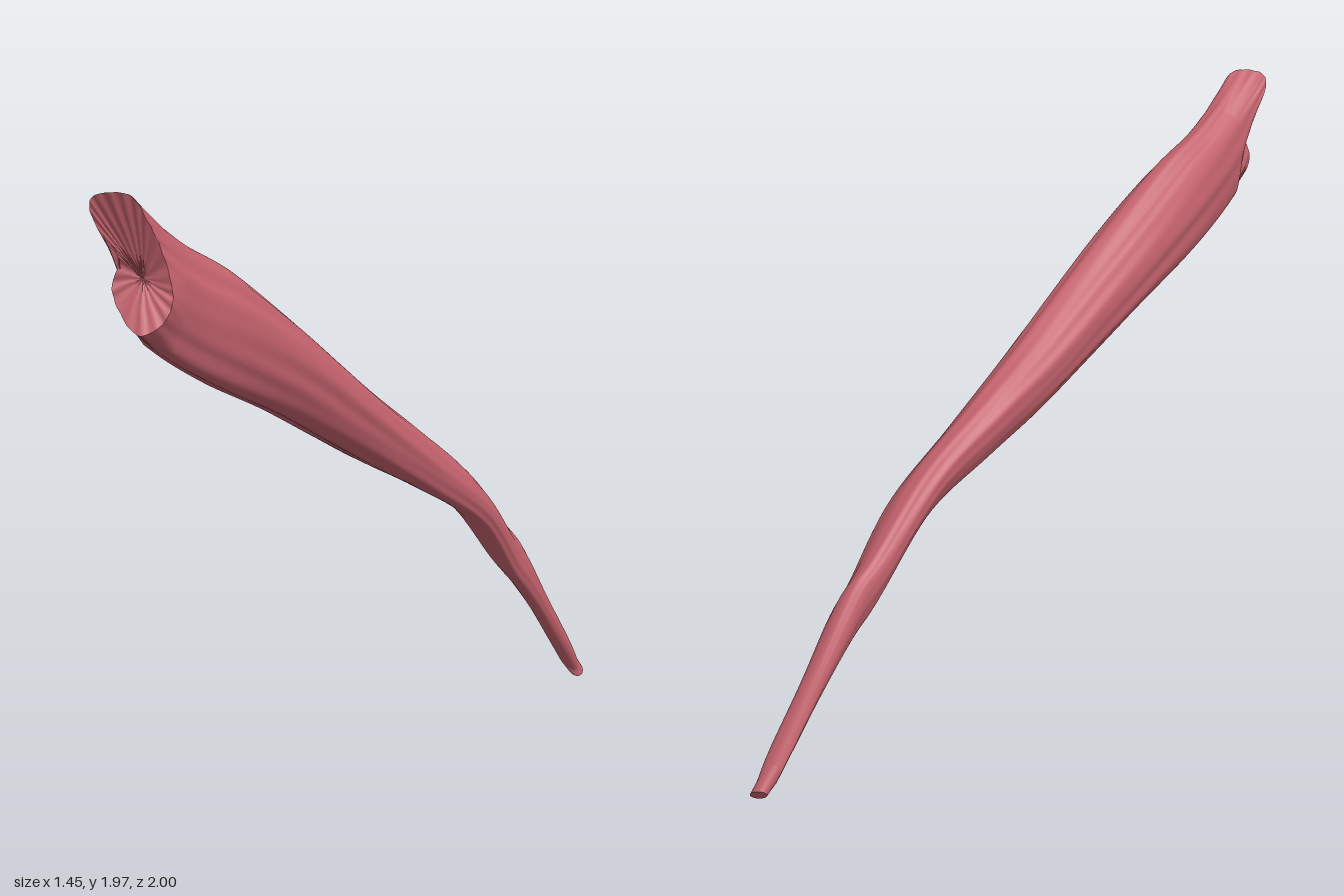
import * as THREE from 'three';

const SIDES = 72;
const STEPS = 90;

// Cross-sections along the muscle: z, x min, x max, y min, y max, slant
const SECTIONS = [
  [-0.95, 0.63, 0.71, 0.02, 0.115, -0.6],
  [-0.90, 0.585, 0.68, 0.10, 0.215, -0.6],
  [-0.80, 0.50, 0.605, 0.255, 0.41, -0.6],
  [-0.68, 0.41, 0.54, 0.39, 0.61, -0.58],
  [-0.60, 0.345, 0.495, 0.475, 0.70, -0.6],
  [-0.40, 0.20, 0.40, 0.70, 0.92, -0.65],
  [-0.20, 0.03, 0.25, 0.85, 1.09, -0.5],
  [0.00, -0.115, 0.12, 0.97, 1.23, -0.3],
  [0.20, -0.26, 0.0, 1.09, 1.39, -0.24],
  [0.40, -0.405, -0.13, 1.215, 1.555, -0.18],
  [0.60, -0.53, -0.275, 1.32, 1.71, -0.13],
  [0.75, -0.61, -0.40, 1.41, 1.80, -0.12],
  [0.85, -0.66, -0.465, 1.475, 1.865, -0.12],
];

// Forked outline of the torn upper end, counter-clockwise from the left side
const RIM = [
  [-0.50, 1.69, 0.90], [-0.53, 1.80, 0.91], [-0.56, 1.88, 0.95], [-0.60, 1.955, 0.985],
  [-0.66, 1.965, 0.995], [-0.715, 1.95, 0.985], [-0.725, 1.91, 0.97], [-0.69, 1.82, 0.93],
  [-0.655, 1.76, 0.89], [-0.68, 1.68, 0.89], [-0.66, 1.61, 0.90], [-0.59, 1.54, 0.95],
  [-0.525, 1.57, 0.935], [-0.495, 1.63, 0.915],
];

// Smooth interpolation between table rows
function sectionAt(u) {
  const f = u * (SECTIONS.length - 1);
  const i = Math.min(Math.floor(f), SECTIONS.length - 2);
  const t = f - i;
  const row = (k) => SECTIONS[Math.max(0, Math.min(SECTIONS.length - 1, k))];
  return row(i).map((p1, c) => {
    const p0 = row(i - 1)[c], p2 = row(i + 1)[c], p3 = row(i + 2)[c];
    return p1 + 0.5 * t * (p2 - p0 + t * (2 * p0 - 5 * p1 + 4 * p2 - p3 + t * (3 * (p1 - p2) + p3 - p0)));
  });
}

// Slanted oval with lengthwise fibre grooves; tilt leans the slice in z
function ring([z, x0, x1, y0, y1, slant], groove, tilt = 0) {
  const points = [];
  for (let j = 0; j < SIDES; j++) {
    const a = (j / SIDES) * Math.PI * 2;
    const ripple = Math.sin(5 * a + 1.5 * z) + 0.7 * Math.sin(9 * a - 2.5 * z + 1) + 0.5 * Math.sin(14 * a + 4 * z);
    const r = 1 + groove * (ripple - 0.6);
    const dy = ((y1 - y0) / 2) * Math.sin(a + Math.asin(slant)) * r;
    points.push(new THREE.Vector3((x0 + x1) / 2 + ((x1 - x0) / 2) * Math.cos(a) * r, (y0 + y1) / 2 + dy, z + tilt * dy));
  }
  return points;
}

// Skin stretched over successive rings
function loft(rings) {
  const index = [];
  for (let k = 0; k < rings.length - 1; k++) {
    for (let j = 0; j < SIDES; j++) {
      const n = (j + 1) % SIDES;
      const a = k * SIDES + j, b = k * SIDES + n;
      index.push(a, b, a + SIDES, b, b + SIDES, a + SIDES);
    }
  }
  const geometry = new THREE.BufferGeometry().setFromPoints(rings.flat());
  geometry.setIndex(index);
  geometry.computeVertexNormals();
  return geometry;
}

export function createModel() {
  const group = new THREE.Group();
  group.name = 'muscle';
  const flesh = new THREE.MeshStandardMaterial({ color: 0xc4626d });
  flesh.name = 'muscle red';
  const add = (name, rings) => {
    const mesh = new THREE.Mesh(loft(rings), flesh);
    mesh.name = name;
    group.add(mesh);
  };

  // Tendon tip, then the belly
  const tip = ring([-0.975, 0.667, 0.725, 0, 0.05, -0.3], 0, -0.95);
  const rings = [tip];
  for (let i = 0; i <= STEPS; i++) {
    const u = i / STEPS;
    rings.push(ring(sectionAt(u), 0.012 + 0.018 * u));
  }

  // Forked upper end with a slightly ragged edge
  const curve = new THREE.CatmullRomCurve3(RIM.map((p) => new THREE.Vector3(...p)), true);
  const rim = [];
  for (let j = 0; j < SIDES; j++) {
    const p = curve.getPoint(j / SIDES);
    p.z += 0.006 * Math.sin(j * 1.9);
    rim.push(p);
  }
  const last = rings[rings.length - 1];
  for (const t of [0.33, 0.67]) rings.push(last.map((p, j) => p.clone().lerp(rim[j], t)));
  rings.push(rim);
  add('muscleBelly', rings);

  // Hollowed face closing the upper end
  const hollow = new THREE.Vector3(-0.59, 1.7, 0.87);
  const shrink = (source, centre, s) => source.map((p) => p.clone().lerp(centre, s));
  add('upperEndFace', [rim, shrink(rim, hollow, 0.5), shrink(rim, hollow, 1)]);

  // Flat face closing the tendon tip
  const tipCentre = new THREE.Vector3(0.696, 0.025, -0.977);
  add('tendonTipFace', [shrink(tip, tipCentre, 1), tip]);

  return group;
}
